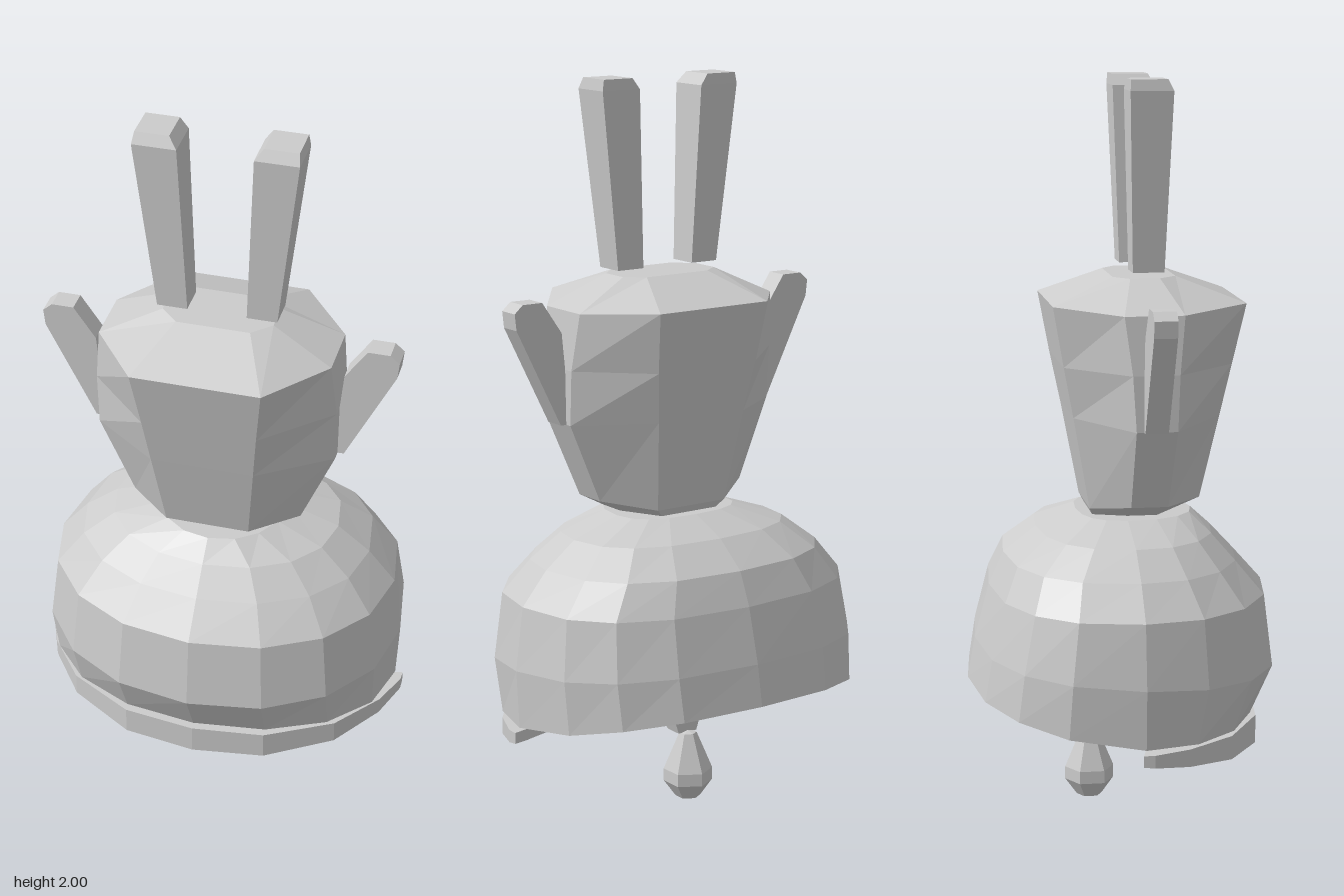
import * as THREE from 'three';

const material = new THREE.MeshStandardMaterial({ color: 0xcccccc, flatShading: true });

function addMesh(parent, geometry, name) {
  const mesh = new THREE.Mesh(geometry, material);
  mesh.name = name;
  parent.add(mesh);
  return mesh;
}

// Closed faceted solid through a list of rings, each a list of [x, y, z]
function loft(rings) {
  const pos = [];
  const tri = (...pts) => pts.forEach((p) => pos.push(...p));
  const middle = (ring) => [0, 1, 2].map((k) => ring.reduce((s, p) => s + p[k], 0) / ring.length);
  const n = rings[0].length;
  const first = rings[0], last = rings[rings.length - 1];
  const c0 = middle(first), c1 = middle(last);
  for (let i = 0; i < n; i++) {
    const j = (i + 1) % n;
    for (let r = 0; r < rings.length - 1; r++) {
      const a = rings[r], b = rings[r + 1];
      tri(a[i], b[i], a[j]);
      tri(a[j], b[i], b[j]);
    }
    tri(c0, first[i], first[j]);
    tri(c1, last[j], last[i]);
  }
  const g = new THREE.BufferGeometry();
  g.setAttribute('position', new THREE.Float32BufferAttribute(pos, 3));
  g.computeVertexNormals();
  return g;
}

// Dome ring: rounder in front, squarer behind
function domeRing([yFront, yBack, halfX, zFront, zBack], level) {
  const ring = [], n = 16;
  for (let i = 0; i < n; i++) {
    const t = (i / n) * Math.PI * 2;
    const c = Math.cos(t), s = Math.sin(t);
    const q = s < -0.01 ? 0.78 : 0.95;
    const x = halfX * Math.sign(c) * Math.abs(c) ** q;
    const d = Math.abs(s) ** q;
    const z = s > 0 ? zFront * d : zBack * d;
    let y = yFront + (yBack - yFront) * (z - zFront) / (zBack - zFront);
    // the lower rim is level in front and lifts behind
    if (level === 0) y = yFront + Math.max(0, -0.07 - z) * 0.22;
    ring.push([x, y, z]);
  }
  return ring;
}

// Eight-sided torso ring: front corners, two side points each side, back corners
function torsoRing([xFront, yFront, zFront, xSide, ySide, zSideF, zSideB, xBack, yBack, zBack]) {
  return [
    [xSide, ySide, zSideF], [xFront, yFront, zFront],
    [-xFront, yFront, zFront], [-xSide, ySide, zSideF],
    [-xSide, ySide, zSideB], [-xBack, yBack, zBack],
    [xBack, yBack, zBack], [xSide, ySide, zSideB],
  ];
}

function boxRing(y, x0, x1, z0, z1) {
  return [[x1, y, z0], [x1, y, z1], [x0, y, z1], [x0, y, z0]];
}

export function createModel() {
  const model = new THREE.Group();
  model.name = 'model';

  // Domed lower body: y front, y back, half width, z front, z back
  addMesh(model, loft([
    [0.28, 0.36, 0.5, 0.36, -0.42],
    [0.41, 0.47, 0.508, 0.425, -0.4],
    [0.61, 0.62, 0.485, 0.4, -0.36],
    [0.7, 0.71, 0.41, 0.32, -0.32],
    [0.77, 0.78, 0.32, 0.255, -0.23],
    [0.82, 0.825, 0.18, 0.2, -0.12],
  ].map(domeRing)), 'dome');

  // Crescent rim under the front: x, outer z, inner z
  const half = [[0, 0.375, 0.26], [0.2, 0.35, 0.15], [0.38, 0.25, 0.04], [0.48, 0.12, 0], [0.52, 0.02, -0.01]];
  const stations = [...half.slice(1).reverse().map(([x, a, b]) => [-x, a, b]), ...half];
  const under = (z) => 0.24 - 0.13 * z;
  addMesh(model, loft(stations.map(([x, outer, inner]) => [
    [x, under(outer), outer], [x, 0.272, outer], [x, 0.272, inner], [x, under(inner), inner],
  ])), 'crescentRim');

  // Hanging clapper with its small block
  addMesh(model, loft([
    boxRing(0.19, -0.03, 0.03, -0.08, -0.03),
    boxRing(0.22, -0.04, 0.04, -0.08, 0),
    boxRing(0.27, -0.04, 0.04, -0.08, 0),
  ]), 'clapperBlock');
  const profile = [[0, 0], [0.035, 0.005], [0.068, 0.05], [0.068, 0.085], [0.024, 0.19], [0, 0.195]];
  const clapper = addMesh(model, new THREE.LatheGeometry(
    profile.map(([r, y]) => new THREE.Vector2(r, y)), 6), 'clapper');
  clapper.position.z = -0.082;

  // Faceted torso flaring upward to a shallow cap
  addMesh(model, loft([
    [0.09, 0.855, 0.16, 0.17, 0.835, 0.08, 0.0, 0.09, 0.825, -0.085],
    [0.115, 0.87, 0.205, 0.235, 0.87, 0.1, 0.0, 0.11, 0.845, -0.095],
    [0.14, 1.1, 0.255, 0.328, 1.09, 0.11, 0.0, 0.14, 1.1, -0.142],
    [0.155, 1.24, 0.285, 0.33, 1.24, 0.115, -0.01, 0.16, 1.24, -0.17],
    [0.175, 1.405, 0.32, 0.315, 1.395, 0.13, -0.03, 0.175, 1.405, -0.2],
    [0.1, 1.473, 0.14, 0.15, 1.473, 0.09, 0.01, 0.1, 1.473, -0.03],
  ].map(torsoRing)), 'torso');

  // Upraised arms: flat slabs leaning outward
  const armOutline = [[0.325, 1.09], [0.345, 1.09], [0.48, 1.36], [0.485, 1.405],
    [0.46, 1.427], [0.4, 1.427], [0.34, 1.34], [0.33, 1.24]];
  // Ears: tapered square posts, wider at the top
  const earRings = [
    [1.49, 0.08, 0.162, 0.015, 0.1],
    [1.97, 0.1, 0.218, 0, 0.115],
    [2.0, 0.122, 0.213, 0.002, 0.1],
  ];
  for (const side of [1, -1]) {
    const label = side > 0 ? 'left' : 'right';
    const shape = new THREE.Shape(armOutline.map(([x, y]) => new THREE.Vector2(side * x, y)));
    const arm = addMesh(model, new THREE.ExtrudeGeometry(shape, { depth: 0.062, bevelEnabled: false }), label + 'Arm');
    arm.position.z = 0.02;
    addMesh(model, loft(earRings.map(([y, x0, x1, z0, z1]) =>
      side > 0 ? boxRing(y, x0, x1, z0, z1) : boxRing(y, -x1, -x0, z0, z1))), label + 'Ear');
  }
  return model;
}
